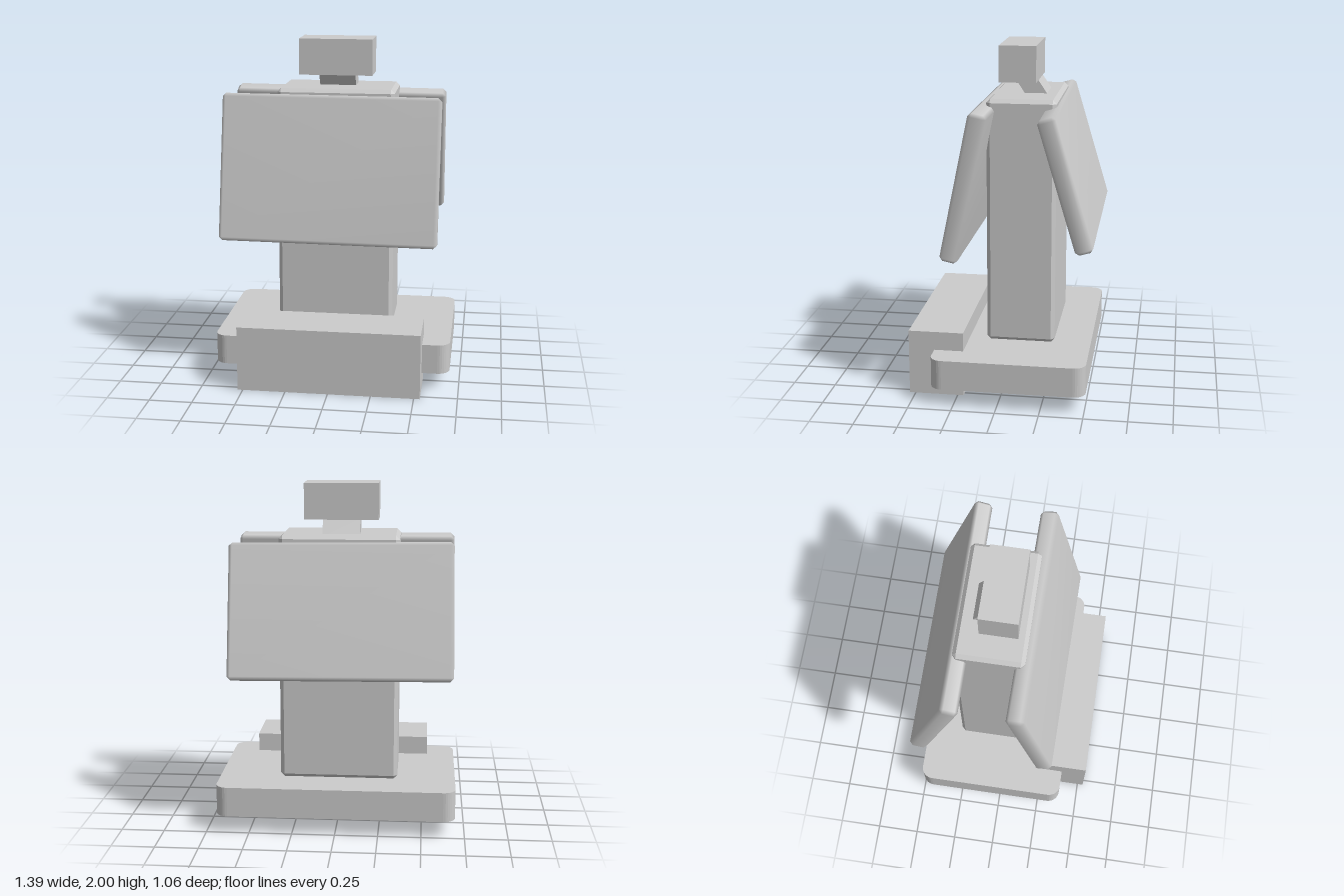
import * as THREE from 'three';
import { mergeVertices } from 'three/addons/utils/BufferGeometryUtils.js';
import { ConvexGeometry } from 'three/addons/geometries/ConvexGeometry.js';

const flat = new THREE.MeshStandardMaterial({ color: 0xcccccc, flatShading: true });
const smooth = new THREE.MeshStandardMaterial({ color: 0xcccccc });

// Box geometry from min/max extents
function boxBetween(x0, x1, y0, y1, z0, z1) {
  return new THREE.BoxGeometry(x1 - x0, y1 - y0, z1 - z0)
    .translate((x0 + x1) / 2, (y0 + y1) / 2, (z0 + z1) / 2);
}

// Box with every edge chamfered by c: each corner becomes a small triangle
function chamferedBox(w, h, d, c) {
  const points = [];
  for (const sx of [-1, 1]) for (const sy of [-1, 1]) for (const sz of [-1, 1]) {
    const [x, y, z] = [w / 2, h / 2, d / 2];
    points.push(
      new THREE.Vector3(sx * x, sy * (y - c), sz * (z - c)),
      new THREE.Vector3(sx * (x - c), sy * y, sz * (z - c)),
      new THREE.Vector3(sx * (x - c), sy * (y - c), sz * z));
  }
  return new ConvexGeometry(points);
}

// Same box with shared, softened normals
function softBox(w, h, d, c) {
  const geometry = chamferedBox(w, h, d, c);
  geometry.deleteAttribute('normal');
  const merged = mergeVertices(geometry);
  merged.computeVertexNormals();
  return merged;
}

// Slab with rounded corners in plan
function roundedSlab(w, h, d, r) {
  const x = w / 2, y = d / 2;
  const shape = new THREE.Shape();
  shape.absarc(x - r, y - r, r, 0, Math.PI / 2);
  shape.absarc(-x + r, y - r, r, Math.PI / 2, Math.PI);
  shape.absarc(-x + r, -y + r, r, Math.PI, Math.PI * 1.5);
  shape.absarc(x - r, -y + r, r, Math.PI * 1.5, Math.PI * 2);
  return new THREE.ExtrudeGeometry(shape, { depth: h, bevelEnabled: false, curveSegments: 4 })
    .rotateX(-Math.PI / 2);
}

export function createModel() {
  const model = new THREE.Group();
  const add = (name, geometry, material = flat) => {
    const mesh = new THREE.Mesh(geometry, material);
    mesh.name = name;
    model.add(mesh);
    return mesh;
  };

  // Foot plate and the heavy block across its front
  add('base', roundedSlab(1.39, 0.175, 0.89, 0.07)).position.set(0, 0.1, -0.06);
  add('frontBlock', boxBetween(-0.53, 0.535, 0, 0.385, 0.215, 0.535));

  // Upright body
  add('column', chamferedBox(0.69, 1.44, 0.4, 0.022)).position.set(-0.01, 0.995, -0.092);

  // Neck leans forward towards the head
  const neck = boxBetween(-0.125, 0.09, 1.7, 1.8, -0.065, 0.065);
  const p = neck.attributes.position;
  for (let i = 0; i < p.count; i++) p.setZ(i, p.getZ(i) - 0.095 + (p.getY(i) - 1.79) * 0.67);
  neck.computeVertexNormals();
  add('neck', neck);
  add('head', boxBetween(-0.23, 0.2, 1.79, 2, -0.16, 0.055));

  // Large panels hung at a slant in front and behind
  const frontPanel = add('frontPanel', softBox(1.28, 0.865, 0.105, 0.02), smooth);
  frontPanel.position.set(-0.033, 1.254, 0.191);
  frontPanel.rotation.set(-0.205, -0.012, -0.006);

  const backPanel = add('backPanel', softBox(1.28, 0.785, 0.105, 0.02), smooth);
  backPanel.position.set(-0.027, 1.293, -0.371);
  backPanel.rotation.set(0.29, 0, -0.01);

  return model;
}
